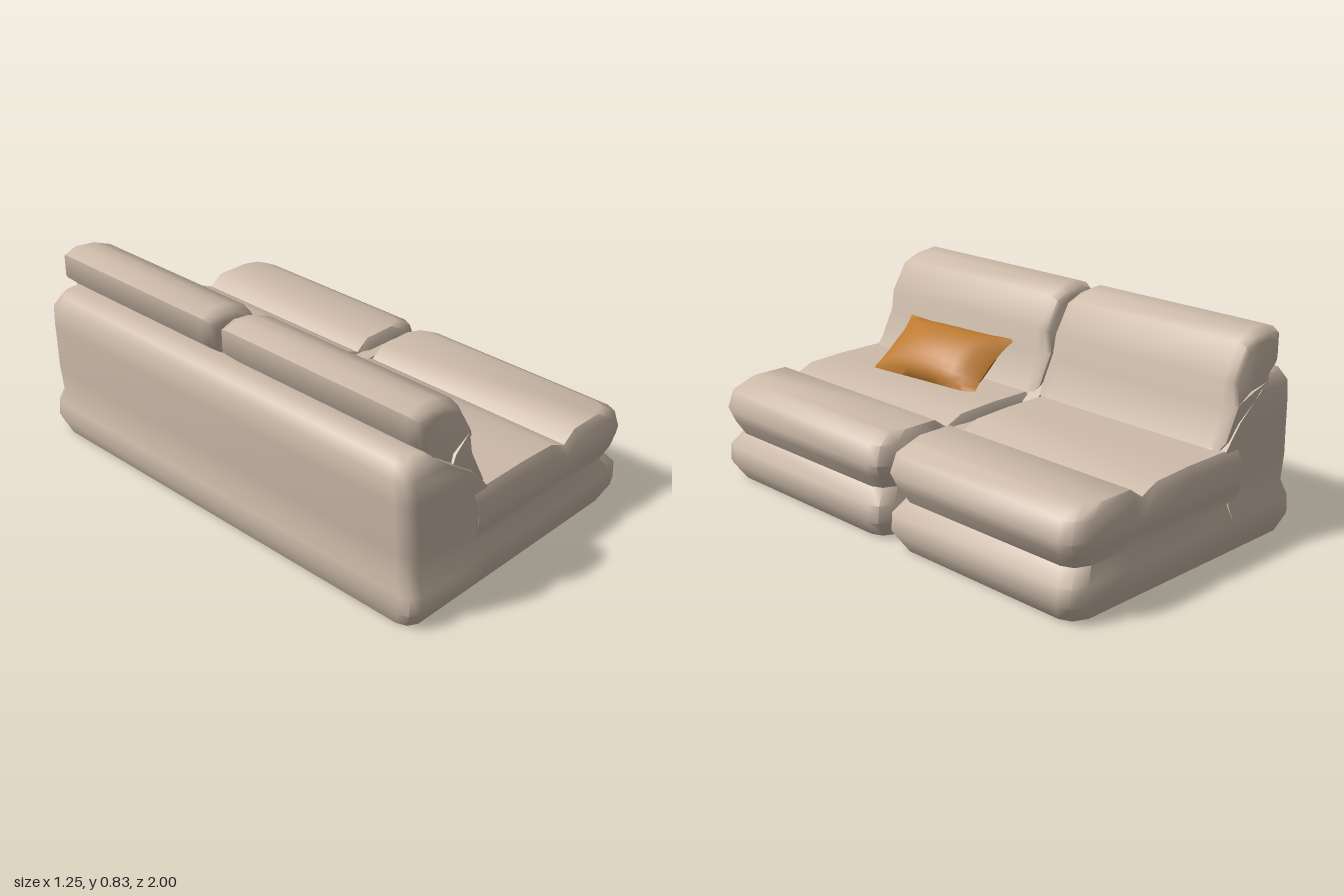
import * as THREE from 'three';
import { mergeGeometries, toCreasedNormals } from 'three/addons/utils/BufferGeometryUtils.js';

// surface through rows of [x, y, z] points
function skin(rows, flip = false) {
  const n = rows[0].length, index = [];
  for (let r = 0; r < rows.length - 1; r++) {
    for (let c = 0; c < n - 1; c++) {
      const a = r * n + c, b = a + 1, d = a + n, e = d + 1;
      if (flip) index.push(a, d, b, b, d, e);
      else index.push(a, b, d, b, e, d);
    }
  }
  const g = new THREE.BufferGeometry();
  g.setAttribute('position', new THREE.Float32BufferAttribute(rows.flat(2), 3));
  g.setIndex(index);
  return g;
}

// side walls through the levels plus a lid joining both halves of the last one
function shell(rows, flip) {
  const top = rows[rows.length - 1], half = top.length / 2;
  const lid = [top.slice(0, half), top.slice(half).reverse()];
  return toCreasedNormals(mergeGeometries([skin(rows, flip), skin(lid, flip)]), 0.9);
}

// levels: y, inset in x, inset in z
const BASE = [[0, 0.045, 0.03], [0.07, 0, 0], [0.14, 0.005, 0], [0.195, 0.05, 0.03]];
const SEAT = [...BASE, [0.25, 0.02, 0.008], [0.3, 0, 0], [0.375, 0.025, 0.008], [0.413, 0.09, 0.03]];

// base and seat of one half, open below, with a groove across the top
function seatGeometry(outer, inner) {
  const s = Math.sign(outer - inner);
  const side = [[-0.28, 0], [0, 0], [0.17, 0], [0.25, 0], [0.31, 0], [0.55, 0], [0.605, 0.025], [0.625, 0.07]];
  const drop = { 0.17: 0.008, 0.25: 0.043 };
  const rows = SEAT.map(([y, ix, iz]) => {
    const run = (edge, dir) => side.map(([x, dz]) => [
      x > 0.5 ? x - ix : x,
      y > 0.37 ? y - (drop[x] || 0) : y,
      edge - dir * (dz + iz),
    ]);
    return [...run(outer, s), ...run(inner, -s).reverse()];
  });
  return shell(rows, s < 0);
}

// back frame: U-shaped wall, open below, its front edge sloping up and back
function frameGeometry() {
  // y, front x, rear x, half width
  const levels = [
    [0, -0.22, -0.6, 0.97], [0.07, -0.22, -0.628, 1], [0.14, -0.22, -0.62, 1], [0.195, -0.22, -0.61, 0.975],
    [0.3, -0.24, -0.617, 0.98], [0.41, -0.19, -0.622, 0.975], [0.5, -0.27, -0.626, 0.972],
    [0.59, -0.4, -0.628, 0.965], [0.64, -0.46, -0.6, 0.94], [0.655, -0.48, -0.55, 0.92],
  ];
  const rows = levels.map(([y, f, r, w]) => {
    const run = (k) => [
      [f + 0.01, y, k * (w - 0.06)], [f - 0.02, y, k * w], [r + 0.05, y, k * w],
      [r + 0.015, y, k * (w - 0.02)], [r, y, k * (w - 0.06)],
    ];
    return [...run(-1), ...run(1).reverse()];
  });
  return shell(rows, false);
}

// back cushion: profile lofted along z with rounded ends
function cushionGeometry(z0, z1) {
  const profile = [
    [-0.5, 0.62], [-0.45, 0.4], [-0.18, 0.4], [-0.262, 0.56], [-0.265, 0.66], [-0.34, 0.785],
    [-0.42, 0.818], [-0.49, 0.826], [-0.555, 0.803], [-0.555, 0.705], [-0.5, 0.655],
  ];
  const cx = -0.37, cy = 0.6;
  const ends = [[0, 0], [0, 0.8], [0.012, 0.92], [0.05, 1]];
  const sections = [
    ...ends.map(([d, k]) => [z0 + d, k]),
    ...ends.map(([d, k]) => [z1 - d, k]).reverse(),
  ];
  const rows = sections.map(([z, k]) => [...profile, profile[0]].map(([x, y]) => [
    cx + (x - cx) * k,
    cy + (y - cy) * k,
    // lower part of the ends flares outward a little
    z + (k < 1 && y < 0.6 ? (z < (z0 + z1) / 2 ? -0.012 : 0.012) : 0),
  ]));
  return toCreasedNormals(skin(rows), 0.9);
}

// throw pillow: two bulging faces with pulled-out corners
function pillowGeometry(w, h, front, back) {
  const face = (depth) => {
    const g = new THREE.PlaneGeometry(2, 2, 10, 10), p = g.attributes.position;
    for (let i = 0; i < p.count; i++) {
      const u = p.getX(i), v = p.getY(i);
      const puff = Math.pow(Math.max(0, (1 - u * u) * (1 - v * v)), 0.5);
      p.setXYZ(i, u * w * (1 - 0.1 * (1 - v * v)), v * h * (1 - 0.08 * (1 - u * u)), depth * puff);
    }
    return g;
  };
  return toCreasedNormals(mergeGeometries([face(front), face(back).rotateY(Math.PI)]), 1);
}

export function createModel() {
  const group = new THREE.Group();
  group.name = 'sofa';
  const fabric = new THREE.MeshStandardMaterial({ color: 0xcdbbaa, side: THREE.DoubleSide });
  fabric.name = 'beige fabric';
  const ochre = new THREE.MeshStandardMaterial({ color: 0xbd7b32, side: THREE.DoubleSide });
  ochre.name = 'ochre fabric';

  const add = (name, geometry, material = fabric) => {
    const mesh = new THREE.Mesh(geometry, material);
    mesh.name = name;
    group.add(mesh);
    return mesh;
  };

  add('backFrame', frameGeometry());
  add('leftSeat', seatGeometry(-1, -0.04));
  add('rightSeat', seatGeometry(1, -0.015));
  add('leftBackCushion', cushionGeometry(-0.955, -0.055));
  add('rightBackCushion', cushionGeometry(-0.02, 0.945));

  // seam filling the gap between the two halves
  const seam = new THREE.Shape([
    [-0.52, 0.63], [-0.45, 0.4], [-0.2, 0.33], [0.45, 0.355], [0.45, 0.365], [-0.14, 0.375], [-0.3, 0.5],
  ].map(([x, y]) => new THREE.Vector2(x, y)));
  add('centreSeam', new THREE.ExtrudeGeometry(seam, { depth: 0.06, bevelEnabled: false }).translate(0, 0, -0.06));

  // pillow leaning on the back cushion
  const pillow = add('throwPillow', pillowGeometry(0.3, 0.17, 0.095, 0.11), ochre);
  pillow.geometry.rotateY(Math.PI / 2).rotateZ(0.94);
  pillow.geometry.rotateY(0.08);
  pillow.position.set(-0.115, 0.485, 0.45);

  return group;
}
